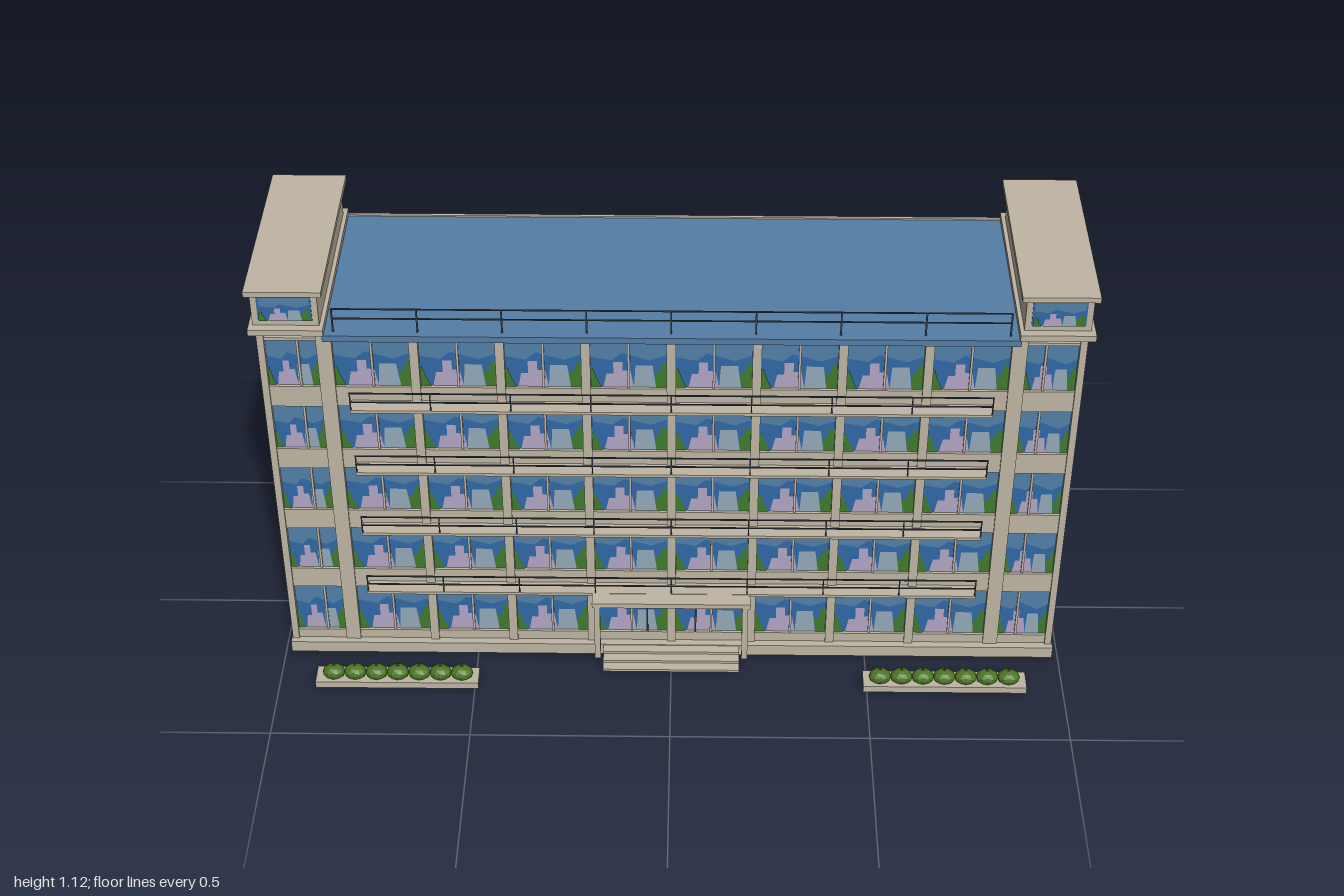
import * as THREE from 'three';
import { mergeGeometries } from 'three/addons/utils/BufferGeometryUtils.js';

export function createModel() {
  const model = new THREE.Group();
  model.name = 'officeBuilding';
  const mat = (name, color, extra = {}) => {
    const m = new THREE.MeshStandardMaterial({ color, ...extra });
    m.name = name;
    return m;
  };
  const M = {
    stone: mat('stone', 0xbfb5a3),
    roof: mat('roofBlue', 0x557ea6),
    glass: mat('glassBlue', 0x2f68a6),
    sky: mat('skyReflection', 0x527fa8),
    mauve: mat('mauveReflection', 0xb3a5c4),
    pale: mat('paleReflection', 0x93a9b8),
    plant: mat('plantGreen', 0x3f7a2c),
    bush: mat('bushGreen', 0x4a7420, { flatShading: true }),
    metal: mat('darkMetal', 0x3c454e),
  };

  // Geometry is gathered by part name, then merged into one mesh per part
  const parts = new Map();
  const add = (name, m, geo) => {
    if (!parts.has(name)) parts.set(name, { m, list: [] });
    parts.get(name).list.push(geo.index ? geo.toNonIndexed() : geo);
  };
  // Box from its limits on each axis
  const box = (name, m, x0, x1, y0, y1, z0, z1) => {
    const g = new THREE.BoxGeometry(Math.abs(x1 - x0), Math.abs(y1 - y0), Math.abs(z1 - z0));
    add(name, m, g.translate((x0 + x1) / 2, (y0 + y1) / 2, (z0 + z1) / 2));
  };

  const LEVEL = [0.035, 0.215, 0.408, 0.6, 0.79, 0.985];
  const BAY = 0.204, HALF = BAY * 4;
  const FRONT = 0.165, BACK = -0.295;

  // Painted reflections, as outlines in the unit square of one window
  const ART = [
    ['skyReflections', M.sky, [0.04, 0.62, 0.3, 0.55, 0.42, 0.7, 0.75, 0.55, 0.97, 0.68, 0.97, 0.97, 0.04, 0.97]],
    ['mauveReflections', M.mauve, [0.2, 0, 0.24, 0.28, 0.32, 0.28, 0.32, 0.52, 0.43, 0.52, 0.43, 0.34, 0.52, 0.34, 0.56, 0]],
    ['paleReflections', M.pale, [0.56, 0, 0.58, 0.45, 0.78, 0.45, 0.82, 0]],
    ['plantReflections', M.plant, [0.82, 0, 0.8, 0.28, 0.86, 0.33, 0.9, 0.55, 0.96, 0.4, 0.99, 0]],
    ['plantReflections', M.plant, [0.02, 0, 0.02, 0.3, 0.08, 0.4, 0.12, 0.2, 0.18, 0]],
  ];
  const windowPane = (x0, x1, y0, y1, z, dir) => {
    box('windowGlass', M.glass, x0, x1, y0, y1, z - 0.003, z + 0.003);
    ART.forEach(([name, m, p], layer) => {
      const pts = [];
      for (let i = 0; i < p.length; i += 2) {
        pts.push(new THREE.Vector2((p[i] - 0.5) * (x1 - x0), (p[i + 1] - 0.5) * (y1 - y0)));
      }
      const g = new THREE.ShapeGeometry(new THREE.Shape(pts));
      if (dir < 0) g.rotateY(Math.PI);
      add(name, m, g.translate((x0 + x1) / 2, (y0 + y1) / 2, z + dir * (0.0042 + layer * 0.0004)));
    });
  };

  // Plinth, core and main roof
  box('plinth', M.stone, -0.985, 0.985, 0, 0.033, -0.337, 0.197);
  box('core', M.stone, -HALF, HALF, 0.033, 0.985, BACK + 0.006, FRONT - 0.006);
  box('mainRoof', M.roof, -0.825, 0.825, 0.983, 1.0, -0.332, 0.19);
  box('roofEdge', M.stone, -0.82, 0.82, 0.985, 1.004, -0.34, -0.332);

  // Front and back facades, storey by storey
  for (let k = 0; k < 5; k++) {
    const y = LEVEL[k], top = LEVEL[k + 1];
    const sill = y + (k ? 0.052 : 0.025);
    box('frontSpandrels', M.stone, -0.98, 0.98, y - 0.006, sill, FRONT - 0.005, 0.177);
    box('backSpandrels', M.stone, -0.98, 0.98, y + (k ? 0.004 : -0.005), sill + 0.008, -0.325, BACK + 0.004);
    for (let i = 0; i < 8; i++) {
      const x = -HALF + i * BAY;
      windowPane(x, x + BAY, sill, top, FRONT, 1);
      windowPane(x, x + BAY, sill, top, BACK, -1);
      box('mullions', M.stone, x + BAY / 2 - 0.003, x + BAY / 2 + 0.003, sill, top, FRONT, 0.174);
    }
    for (const s of [-1, 1]) {
      const a = Math.min(s * 0.835, s * 0.972), b = Math.max(s * 0.835, s * 0.972);
      windowPane(a, b, sill, top - 0.006, FRONT, 1);
      windowPane(a, b, sill + 0.025, top - 0.006, BACK, -1);
      box('mullions', M.stone, s * 0.885, s * 0.891, sill, top, FRONT, 0.174);
      box('towerLintels', M.stone, a, b, top - 0.008, top, FRONT - 0.005, 0.177);
    }
    // Balconies with a thin railing
    if (k) {
      box('balconies', M.stone, -0.77, 0.77, y + 0.004, y + 0.012, 0.17, 0.219);
      for (const h of [0.034, 0.06]) box('balconyRails', M.metal, -0.77, 0.77, y + h, y + h + 0.003, 0.215, 0.218);
      for (let i = 0; i <= 8; i++) {
        const x = -0.768 + i * 0.192;
        box('balconyRails', M.metal, x - 0.0015, x + 0.0015, y + 0.012, y + 0.06, 0.215, 0.218);
      }
    }
  }
  for (let i = 0; i <= 8; i++) {
    const x = -HALF + i * BAY;
    box('frontColumns', M.stone, x - 0.011, x + 0.011, 0.033, 0.985, FRONT - 0.006, 0.182);
    box('backColumns', M.stone, x - 0.011, x + 0.011, 0.033, 0.985, -0.312, BACK + 0.006);
  }

  // Solid flight of steps climbing along z, with sloping underside
  const flight = (s, z0, z1, y0, y1) => {
    const n = 7, dz = (z1 - z0) / n, dy = (y1 - y0) / n;
    const shape = new THREE.Shape();
    shape.moveTo(z0, y0 - 0.004);
    for (let i = 0; i < n; i++) {
      shape.lineTo(z0 + dz * i, y0 + dy * (i + 1));
      shape.lineTo(z0 + dz * (i + 1), y0 + dy * (i + 1));
    }
    shape.lineTo(z1, y1 - 0.022);
    shape.lineTo(z0 + dz, y0 - 0.004);
    const g = new THREE.ExtrudeGeometry(shape, { depth: 0.135, bevelEnabled: false });
    add('stairFlights', M.stone, g.rotateY(-Math.PI / 2).translate(s > 0 ? 0.965 : -0.83, 0, 0));
    // Handrail with a post at its foot
    const len = Math.hypot(z1 - z0, y1 - y0);
    const rail = new THREE.BoxGeometry(0.004, 0.006, len);
    rail.rotateX(-Math.atan2(y1 - y0, z1 - z0) + (z1 < z0 ? Math.PI : 0));
    add('stairRails', M.metal, rail.translate(s * 0.963, (y0 + y1) / 2 + 0.063, (z0 + z1) / 2));
    box('stairRails', M.metal, s * 0.961, s * 0.965, y0, y0 + 0.063, z0 - 0.002, z0 + 0.002);
  };

  // Open stair towers at both ends
  for (const s of [-1, 1]) {
    for (const [x0, x1] of [[0.826, 0.842], [0.965, 0.982]]) {
      box('towerColumns', M.stone, s * x0, s * x1, 0.033, 1.006, 0.155, 0.182);
      box('towerColumns', M.stone, s * x0, s * x1, 0.033, 1.006, -0.312, -0.293);
    }
    box('towerPost', M.stone, s * 0.963, s * 0.98, 0.033, 1.006, -0.08, -0.062);
    for (let k = 0; k < 5; k++) {
      const y = LEVEL[k], top = LEVEL[k + 1], mid = y + 0.098;
      flight(s, 0.148, -0.06, y, mid);
      flight(s, -0.29, -0.08, mid, top);
      box('landings', M.stone, s * 0.82, s * 0.965, y - 0.008, y, 0.145, 0.17);
      box('landings', M.stone, s * 0.82, s * 0.965, mid - 0.01, mid, -0.09, -0.05);
      box('landings', M.stone, s * 0.82, s * 0.965, mid - 0.01, mid, -0.305, -0.285);
      // Windows in the inner wall
      box('stairWindows', M.glass, s * 0.814, s * 0.82, top - 0.1, top - 0.005, -0.062, 0.002);
      box('stairWindows', M.glass, s * 0.814, s * 0.82, y + 0.045, y + 0.092, -0.145, -0.08);
      box('stairWindowTint', M.pale, s * 0.816, s * 0.822, y + 0.047, y + 0.08, -0.14, -0.085);
    }
    // Tower slab, rooftop room with end windows and its cap
    box('towerSlab', M.stone, s * 0.82, s * 0.998, 1.004, 1.02, -0.337, 0.197);
    box('rooftopRoom', M.stone, s * 0.83, s * 0.988, 1.02, 1.11, -0.315, 0.175);
    box('roomCap', M.stone, s * 0.817, s, 1.108, 1.122, -0.33, 0.188);
    const a = Math.min(s * 0.845, s * 0.973), b = Math.max(s * 0.845, s * 0.973);
    windowPane(a, b, 1.035, 1.102, 0.174, 1);
    windowPane(a, b, 1.035, 1.102, -0.314, -1);
  }

  // Roof railing along the front edge
  for (const y of [1.035, 1.062]) box('roofRailing', M.metal, -0.8, 0.8, y, y + 0.003, 0.168, 0.171);
  for (let i = 0; i <= 8; i++) box('roofRailing', M.metal, i * 0.2 - 0.802, i * 0.2 - 0.798, 1.0, 1.064, 0.168, 0.172);

  // Entrance canopy, pillars, door frames and floating steps
  box('canopy', M.stone, -0.2, 0.2, 0.212, 0.226, 0.17, 0.258);
  for (const s of [-1, 1]) {
    box('canopyPillars', M.stone, s * 0.18, s * 0.195, 0.04, 0.212, 0.243, 0.257);
    box('doorFrames', M.metal, s * 0.06, s * 0.064, 0.04, 0.205, 0.168, 0.176);
  }
  box('doorFrames', M.metal, -0.002, 0.002, 0.04, 0.205, 0.168, 0.176);
  for (let i = 0; i < 3; i++) {
    box('entranceSteps', M.stone, -0.175, 0.175, 0.024 - i * 0.008, 0.031 - i * 0.008, 0.195 + i * 0.024, 0.222 + i * 0.025);
  }

  // Planters with clipped bushes
  for (const s of [-1, 1]) {
    box('planters', M.stone, s * 0.49, s * 0.905, 0.007, 0.026, 0.281, 0.34);
    for (let i = 0; i < 7; i++) {
      const bush = new THREE.IcosahedronGeometry(1, 1).scale(0.029, 0.02, 0.024);
      add('bushes', M.bush, bush.translate(s * (0.533 + i * 0.0545), 0.037, 0.311));
      const tuft = new THREE.ConeGeometry(0.008, 0.016, 5).translate(s * (0.533 + i * 0.0545), 0.056, 0.309);
      add('bushes', M.bush, tuft);
    }
  }

  for (const [name, { m, list }] of parts) {
    const mesh = new THREE.Mesh(mergeGeometries(list), m);
    mesh.name = name;
    model.add(mesh);
  }
  return model;
}
